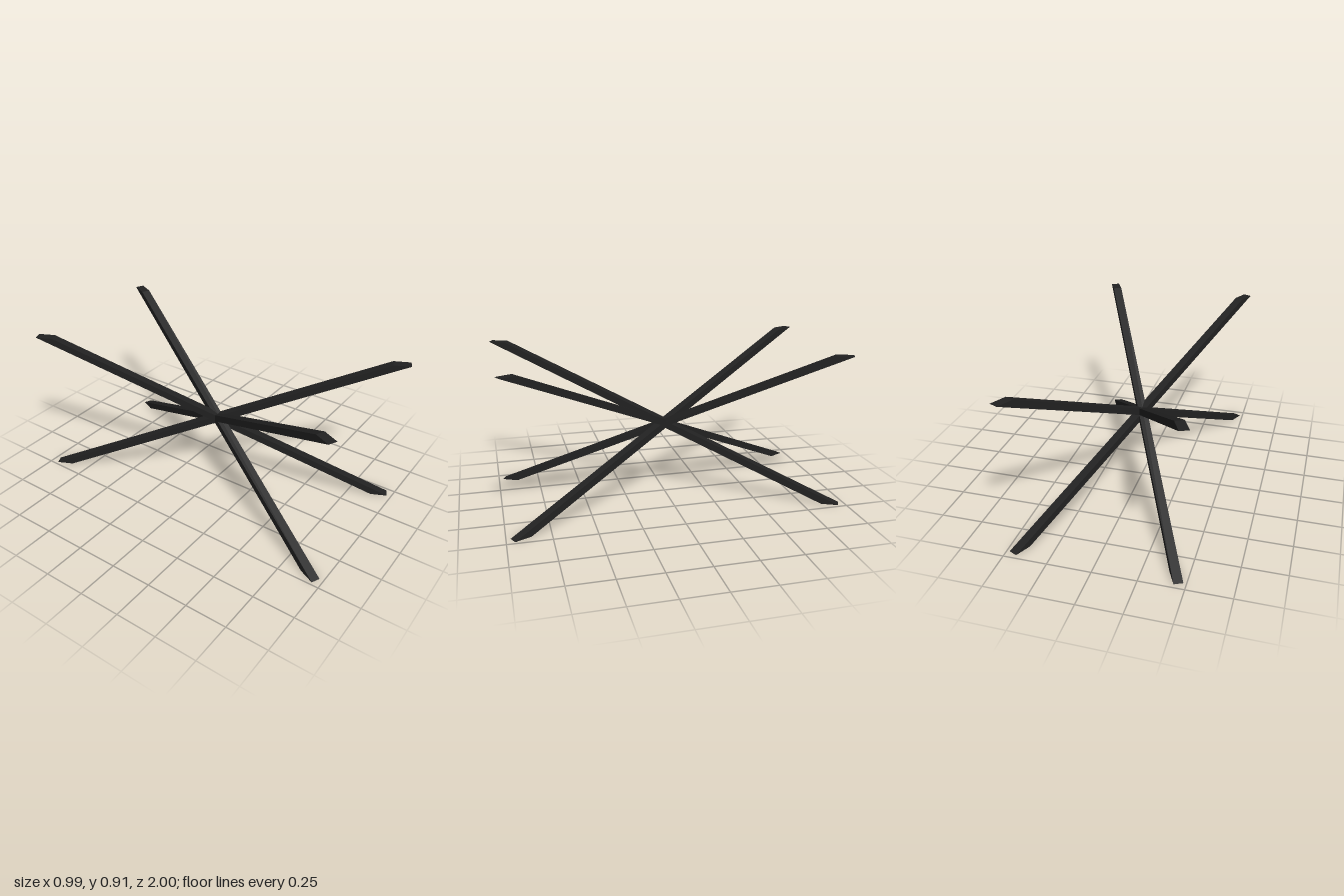
import * as THREE from 'three';

const HEIGHT = 0.91;      // overall height
const CROSS_Y = 0.449;    // height at which all bars cross
const WIDTH = 0.052;      // bar width
const FOOTPRINT = 0.1;    // length of the level end cut
const RUN = 2.267;        // horizontal run per unit of height
const SPLAY = 0.445;      // plan angle away from the z axis

// Slanted bar with level cut ends: an upright box sheared along z
function slantedBar(lean) {
  const geometry = new THREE.BoxGeometry(WIDTH, HEIGHT, FOOTPRINT);
  geometry.translate(0, HEIGHT / 2, 0);
  const p = geometry.attributes.position;
  for (let i = 0; i < p.count; i++) {
    p.setZ(i, p.getZ(i) + lean * RUN * (p.getY(i) - CROSS_Y));
  }
  geometry.computeVertexNormals();
  return geometry;
}

export function createModel() {
  const model = new THREE.Group();
  model.name = 'crossedLegBase';
  const material = new THREE.MeshStandardMaterial({ color: 0x222222 });

  // Four diagonal bars crossing at one point
  for (const lean of [1, -1]) {
    for (const side of [1, -1]) {
      const bar = new THREE.Mesh(slantedBar(lean), material);
      bar.rotation.y = side * SPLAY;
      bar.name = `${lean > 0 ? 'forward' : 'backward'}${lean * side > 0 ? 'Left' : 'Right'}LegBar`;
      model.add(bar);
    }
  }
  return model;
}
